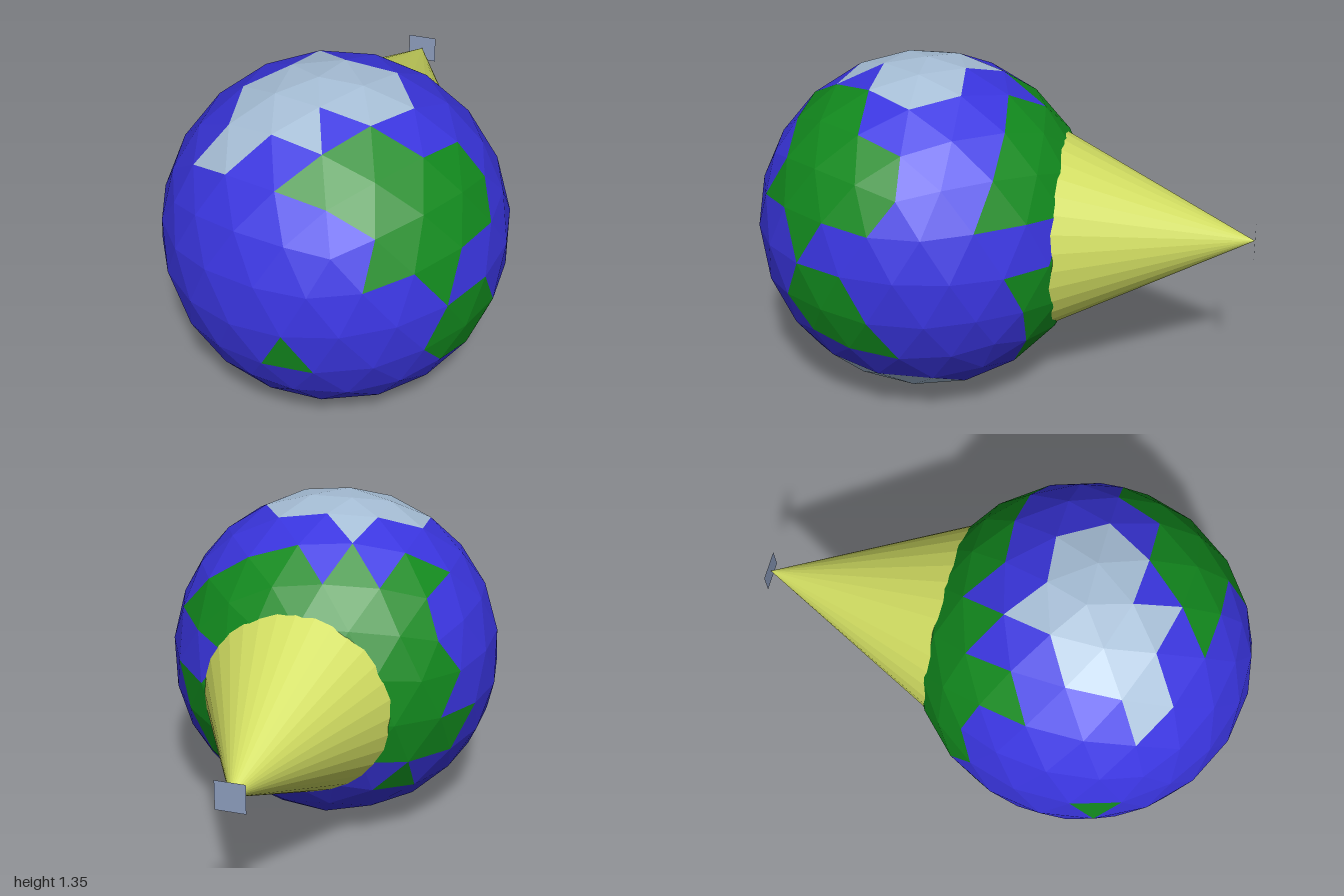
import * as THREE from 'three';

const R = 0.68;
const CENTRE = new THREE.Vector3(0, 0.677, 0.32);

// Coast outlines, each drawn in the plane facing its azimuth and elevation (degrees)
const eastLand = { az: 35, el: 25, outline: [-.335, .3, .05, .465, .16, .36, .22, .33, .39, .34, .47, .195,
  .46, .015, .305, -.02, .225, -.225, .13, -.06, -.11, -.09, -.045, .09, -.2, .2] };
const southLand = { az: 90, el: 0, outline: [-.405, .055, -.22, .055, -.12, -.135, 0, -.3, -.37, -.25, -.465, -.125] };
const rearLand = { az: 180, el: 20, outline: [-.56, .14, -.28, .35, -.065, .43, .07, .3, .15, .457, .28, .317,
  .335, .45, .495, .39, .456, .275, .515, .105, .6, 0, .566, -.177, .645, -.13, .567, -.33, .43, -.378,
  -.18, -.5, -.29, -.58, -.46, -.336, -.55, -.086, -.39, -.15, -.32, .033] };
const northIce = { az: 0, el: 90, outline: [-.15, .29, 0, .165, .2, .185, .3, 0, .195, -.175, 0, -.165,
  .06, -.335, -.115, -.29, -.285, -.395, -.45, -.3, -.345, -.195, -.355, 0, -.175, .105] };
const southIce = { az: 0, el: -90, outline: [-.2, .17, -.06, .34, .08, .475, .29, .407, .45, .305,
  .5, -.1, .31, -.25, .165, -.32, -.07, -.335, -.333, 0] };

// Single-face islands, by position on the globe
const islets = [[0, -.12, .66], [-.52, -.17, .4], [-.63, .065, .21], [-.38, -.34, -.43], [-.39, -.55, .03]]
  .map(p => new THREE.Vector3(...p));

function insideOutline(x, y, p) {
  let inside = false;
  for (let i = 0, j = p.length - 2; i < p.length; j = i, i += 2) {
    if ((p[i + 1] > y) !== (p[j + 1] > y) &&
      x < (p[j] - p[i]) * (y - p[i + 1]) / (p[j + 1] - p[i + 1]) + p[i]) inside = !inside;
  }
  return inside;
}

function covers({ az, el, outline }, point) {
  const a = THREE.MathUtils.degToRad(az), e = THREE.MathUtils.degToRad(el);
  const toward = new THREE.Vector3(Math.sin(a) * Math.cos(e), Math.sin(e), Math.cos(a) * Math.cos(e));
  const right = new THREE.Vector3(Math.cos(a), 0, -Math.sin(a));
  const up = new THREE.Vector3().crossVectors(toward, right);
  return point.dot(toward) > 0.2 * R && insideOutline(point.dot(right), point.dot(up), outline);
}

function addMesh(parent, name, geometry, color, side = THREE.FrontSide) {
  const mesh = new THREE.Mesh(geometry, new THREE.MeshStandardMaterial({ color, flatShading: true, side }));
  mesh.name = name;
  parent.add(mesh);
  return mesh;
}

// Faceted globe, its triangles sorted into sea, land and ice
function buildGlobe() {
  const globe = new THREE.Group();
  globe.name = 'globe';
  const pos = new THREE.IcosahedronGeometry(R, 3).rotateZ(-Math.atan(0.5)).getAttribute('position');
  const faces = [];
  for (let i = 0; i < pos.count; i += 3) {
    const corners = [0, 1, 2].map(k => new THREE.Vector3().fromBufferAttribute(pos, i + k));
    const middle = new THREE.Vector3();
    corners.forEach(v => middle.addScaledVector(v, 1 / 3));
    const within = area => covers(area, middle);
    const kind = [northIce, southIce].some(within) ? 'ice'
      : [eastLand, southLand, rearLand].some(within) ? 'land' : 'sea';
    faces.push({ corners, middle, kind });
  }
  for (const spot of islets) {
    const nearest = faces.reduce((a, b) =>
      b.middle.distanceTo(spot) < a.middle.distanceTo(spot) ? b : a);
    nearest.kind = 'land';
  }
  const colors = { sea: 0x3a35e0, land: 0x128a1e, ice: 0xa8c0d8 };
  for (const [kind, color] of Object.entries(colors)) {
    const points = faces.filter(f => f.kind === kind).flatMap(f => f.corners);
    const geometry = new THREE.BufferGeometry().setFromPoints(points);
    geometry.computeVertexNormals();
    addMesh(globe, kind, geometry, color);
  }
  return globe;
}

export function createModel() {
  const model = new THREE.Group();
  model.name = 'globeWithCone';

  const globe = buildGlobe();
  globe.position.copy(CENTRE);
  model.add(globe);

  // Cone pointing backwards out of the globe
  const cone = addMesh(model, 'cone', new THREE.ConeGeometry(0.4, 0.8, 32).rotateX(-Math.PI / 2), 0xd2de62);
  cone.position.set(0, CENTRE.y, -0.6);

  // Small square plate at the cone tip
  const plate = addMesh(model, 'tipPlate', new THREE.PlaneGeometry(0.12, 0.12), 0x8c9cbc, THREE.DoubleSide);
  plate.position.set(0, CENTRE.y, -1);

  return model;
}
